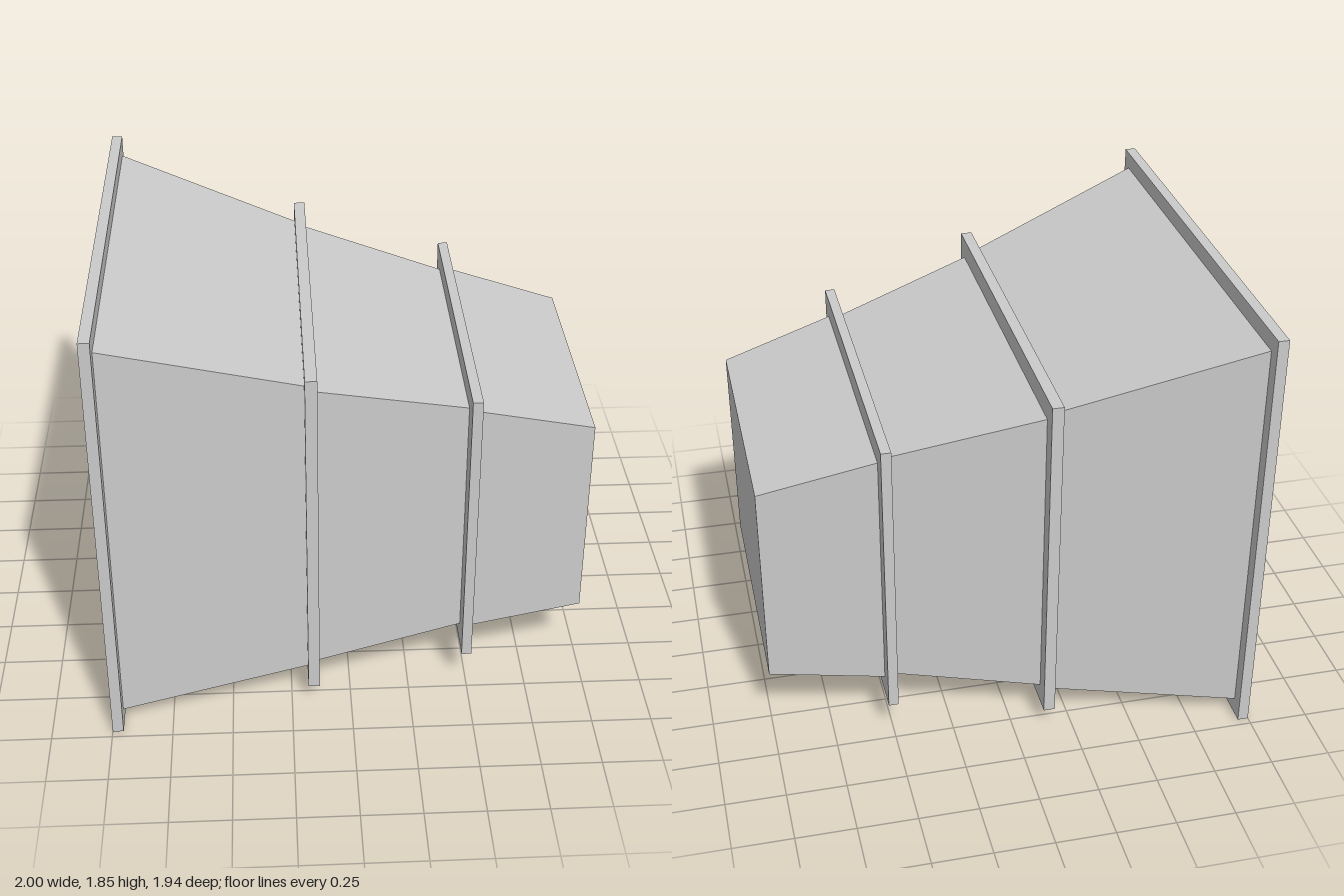
import * as THREE from 'three';

export function createModel() {
  const group = new THREE.Group();
  const material = new THREE.MeshStandardMaterial({ color: 0xcccccc, flatShading: true });

  // Box between two rectangular ends, each given as [x, bottom, top, halfDepth]
  function taperedBox(name, a, b) {
    const geometry = new THREE.BoxGeometry(1, 1, 1);
    const p = geometry.attributes.position;
    for (let i = 0; i < p.count; i++) {
      const [x, bottom, top, half] = p.getX(i) < 0 ? a : b;
      p.setXYZ(i, x, p.getY(i) < 0 ? bottom : top, Math.sign(p.getZ(i)) * half);
    }
    geometry.computeVertexNormals();
    const mesh = new THREE.Mesh(geometry, material);
    mesh.name = name;
    group.add(mesh);
  }

  // Flat flange plates: x from, x to, bottom, top, half depth
  const flanges = [
    ['largeFlange', -1, -0.955, 0, 1.845, 0.968],
    ['middleFlange', -0.18, -0.132, 0.075, 1.57, 0.81],
    ['smallFlange', 0.478, 0.52, 0.145, 1.398, 0.714],
  ];
  for (const [name, x0, x1, ...size] of flanges) taperedBox(name, [x0, ...size], [x1, ...size]);

  // Tapered duct sections between the flanges
  taperedBox('largeSection', [-0.955, 0.07, 1.775, 0.911], [-0.18, 0.133, 1.511, 0.742]);
  taperedBox('middleSection', [-0.132, 0.16, 1.482, 0.74], [0.478, 0.23, 1.314, 0.612]);
  taperedBox('smallSection', [0.52, 0.236, 1.307, 0.632], [1, 0.282, 1.177, 0.565]);

  return group;
}
